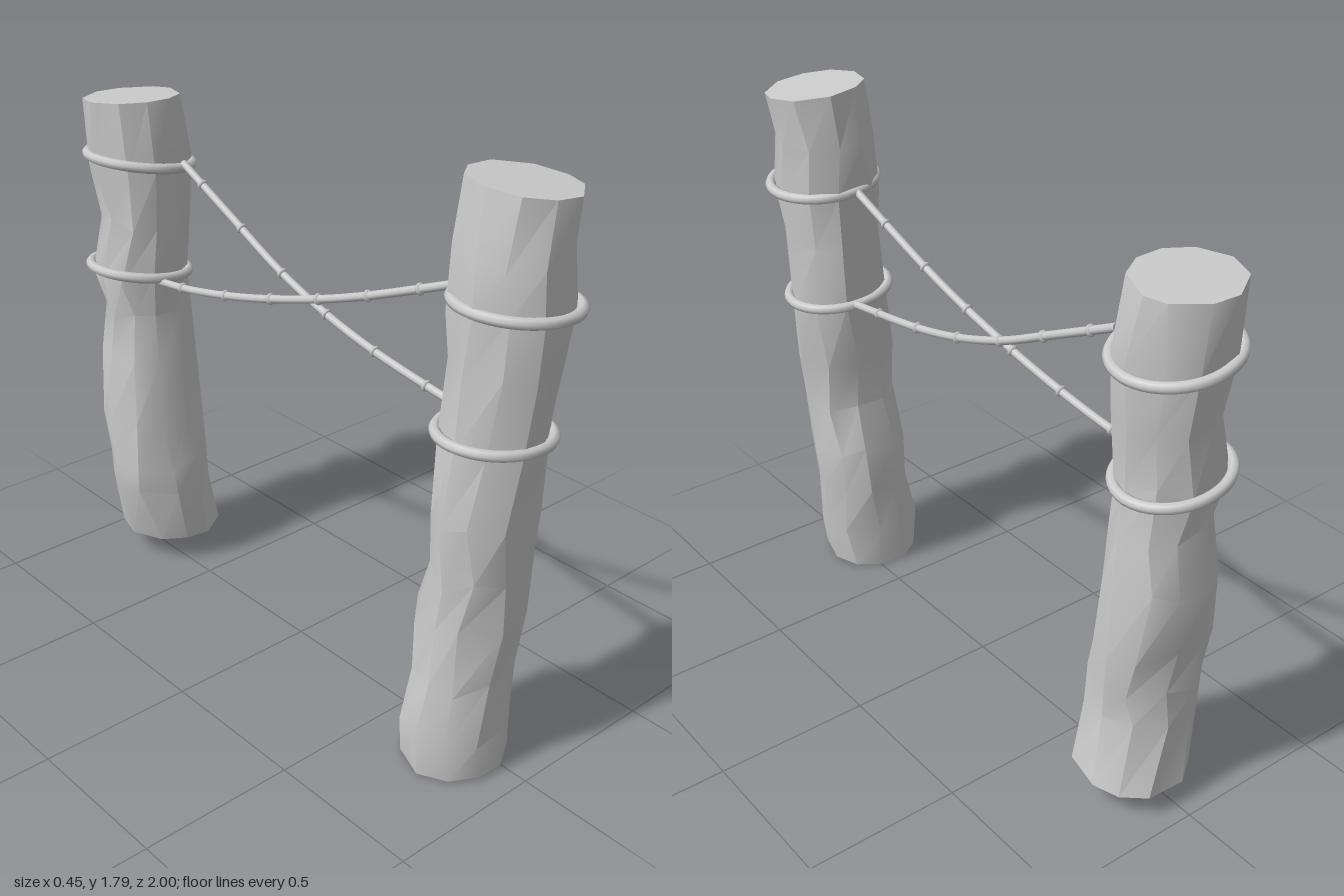
import * as THREE from 'three';
import { toCreasedNormals } from 'three/addons/utils/BufferGeometryUtils.js';

const SIDES = 10;
const material = new THREE.MeshStandardMaterial({ color: 0xcccccc });

function seeded(seed) {
  return () => {
    seed = (seed * 16807) % 2147483647;
    return seed / 2147483647;
  };
}

function addMesh(parent, name, geometry) {
  const mesh = new THREE.Mesh(geometry, material);
  mesh.name = name;
  parent.add(mesh);
  return mesh;
}

// Rough log lofted through rows of [y, xMin, xMax, zMin, zMax]; ends get a slight slope in x and z
function logGeometry(rows, seed, topSlope, bottomSlope) {
  const random = seeded(seed);
  const pos = [], index = [];
  rows.forEach(([y, x0, x1, z0, z1], r) => {
    const cx = (x0 + x1) / 2, cz = (z0 + z1) / 2;
    const slope = r === 0 ? bottomSlope : r === rows.length - 1 ? topSlope : null;
    for (let i = 0; i < SIDES; i++) {
      const a = ((i + (random() - 0.5) * 0.35) / SIDES) * Math.PI * 2;
      const k = 1.01 + (random() - 0.5) * 0.05;
      const dx = Math.cos(a) * k * (x1 - x0) / 2;
      const dz = Math.sin(a) * k * (z1 - z0) / 2;
      const dy = slope ? slope[0] * dx + slope[1] * dz : (random() - 0.5) * 0.05;
      pos.push(cx + dx, y + dy, cz + dz);
    }
  });
  for (let r = 0; r < rows.length - 1; r++) {
    for (let i = 0; i < SIDES; i++) {
      const a = r * SIDES + i, b = r * SIDES + (i + 1) % SIDES;
      index.push(a, a + SIDES, b, b, a + SIDES, b + SIDES);
    }
  }
  // End caps
  const last = (rows.length - 1) * SIDES;
  for (let i = 1; i < SIDES - 1; i++) {
    index.push(0, i, i + 1);
    index.push(last, last + i + 1, last + i);
  }
  const geo = new THREE.BufferGeometry();
  geo.setAttribute('position', new THREE.Float32BufferAttribute(pos, 3));
  geo.setIndex(index);
  return toCreasedNormals(geo, 0.6);
}

// Rope loop around a log, dipping by the given slope along x
function addLoop(parent, name, [x, y, z], rx, rz, slope) {
  const points = [];
  for (let i = 0; i < 16; i++) {
    const a = (i / 16) * Math.PI * 2;
    const dx = Math.cos(a) * rx;
    points.push(new THREE.Vector3(x + dx, y + slope * dx, z + Math.sin(a) * rz));
  }
  const curve = new THREE.CatmullRomCurve3(points, true);
  addMesh(parent, name, new THREE.TubeGeometry(curve, 40, 0.017, 8, true));
}

// Sagging rope with evenly spaced knots
function addRope(parent, name, coords, knotStart) {
  const rope = new THREE.Group();
  rope.name = name;
  const curve = new THREE.CatmullRomCurve3(coords.map(c => new THREE.Vector3(...c)));
  addMesh(rope, 'ropeStrand', new THREE.TubeGeometry(curve, 40, 0.013, 8));
  const knotGeo = new THREE.TorusGeometry(0.011, 0.008, 6, 10);
  const zFirst = coords[0][2], zLast = coords[coords.length - 1][2];
  for (let z = knotStart; z > zLast + 0.03; z -= 0.206) {
    const t = (zFirst - z) / (zFirst - zLast);
    const knot = addMesh(rope, 'ropeKnot', knotGeo);
    const p = curve.getPointAt(t);
    knot.position.copy(p);
    knot.lookAt(p.add(curve.getTangentAt(t)));
  }
  parent.add(rope);
}

export function createModel() {
  const model = new THREE.Group();
  model.name = 'ropeFence';

  // Two weathered posts
  addMesh(model, 'frontPost', logGeometry([
    [0.012, -0.215, 0.11, 0.605, 0.914],
    [0.14, -0.222, 0.13, 0.605, 0.91],
    [0.31, -0.186, 0.13, 0.61, 0.905],
    [0.49, -0.18, 0.145, 0.6, 0.925],
    [0.66, -0.175, 0.15, 0.665, 0.925],
    [0.84, -0.177, 0.17, 0.65, 0.92],
    [1.06, -0.15, 0.185, 0.635, 0.93],
    [1.28, -0.13, 0.177, 0.645, 0.955],
    [1.45, -0.135, 0.2, 0.63, 0.97],
    [1.6, -0.125, 0.192, 0.63, 0.96],
    [1.775, -0.092, 0.218, 0.64, 0.955],
  ], 71, [-0.1, -0.08], [0.02, 0.03]));
  addMesh(model, 'backPost', logGeometry([
    [0.09, -0.13, 0.205, -0.95, -0.6],
    [0.3, -0.185, 0.16, -0.92, -0.6],
    [0.41, -0.19, 0.165, -0.92, -0.607],
    [0.55, -0.195, 0.168, -0.932, -0.64],
    [0.78, -0.165, 0.16, -0.965, -0.65],
    [0.95, -0.15, 0.15, -0.935, -0.668],
    [1.09, -0.18, 0.135, -0.95, -0.66],
    [1.28, -0.14, 0.155, -0.945, -0.66],
    [1.47, -0.168, 0.168, -0.975, -0.645],
    [1.678, -0.172, 0.15, -0.97, -0.675],
  ], 137, [-0.03, 0.08], [-0.02, 0.05]));

  // Rope loops tied round the posts
  addLoop(model, 'frontUpperLoop', [0.038, 1.455, 0.812], 0.172, 0.172, -0.075);
  addLoop(model, 'frontLowerLoop', [0.017, 1.068, 0.783], 0.172, 0.155, -0.08);
  addLoop(model, 'backUpperLoop', [0.0, 1.47, -0.812], 0.172, 0.171, -0.17);
  addLoop(model, 'backLowerLoop', [-0.023, 1.095, -0.808], 0.168, 0.155, -0.16);

  // Crossing ropes between the posts
  addRope(model, 'descendingRope', [
    [0.02, 1.455, 0.635], [0.006, 1.304, 0.26], [-0.005, 1.232, 0.05],
    [-0.023, 1.152, -0.24], [-0.038, 1.1, -0.51], [-0.047, 1.085, -0.665],
  ], 0.48);
  addRope(model, 'risingRope', [
    [0.05, 1.068, 0.63], [0.05, 1.118, 0.29], [0.05, 1.166, 0.08],
    [0.05, 1.245, -0.15], [0.05, 1.364, -0.4], [0.05, 1.48, -0.64],
  ], 0.495);

  return model;
}
